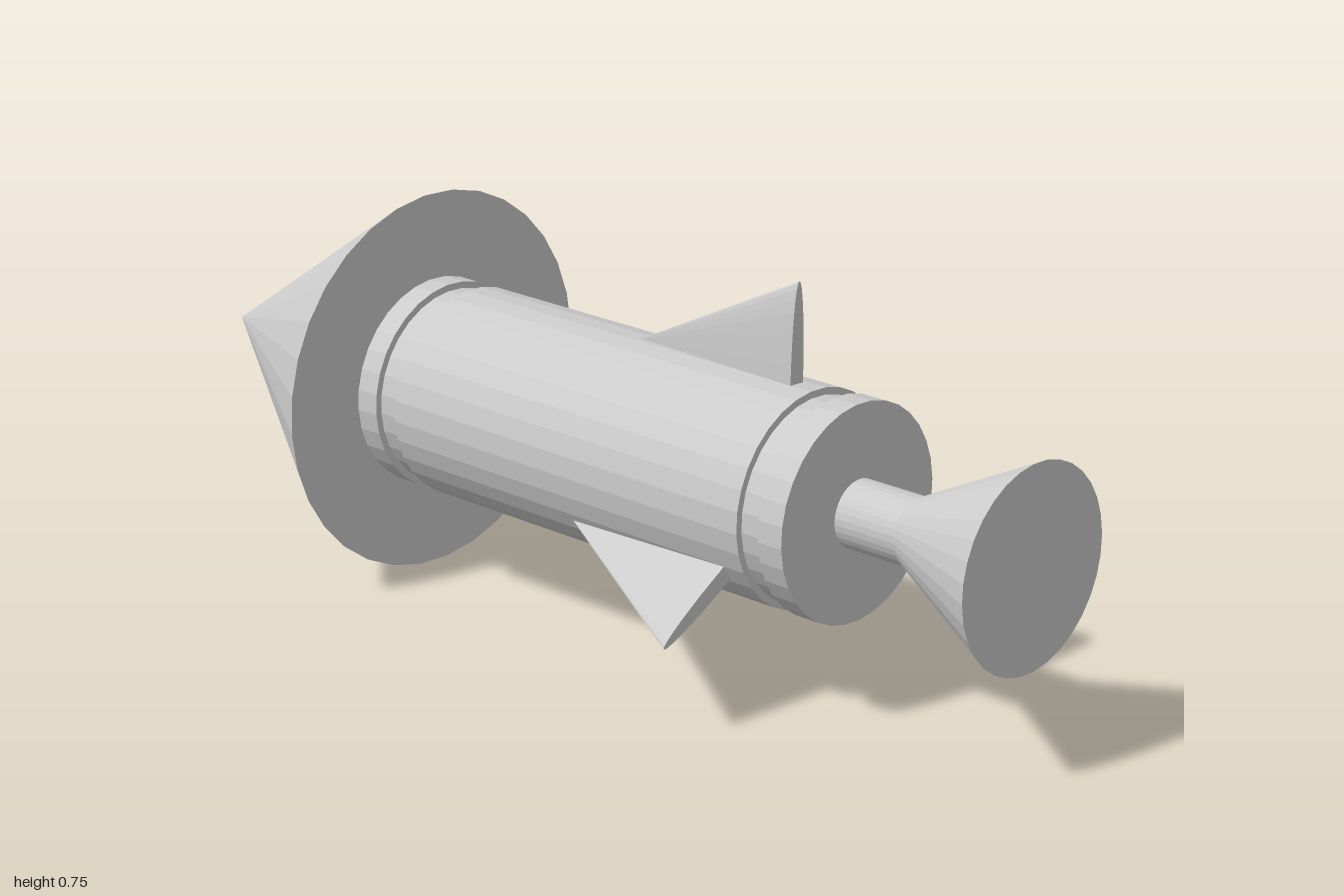
import * as THREE from 'three';

const SIDES = 32;
const AXIS_Y = 0.369;
const TURN = 0.06; // small roll of the facets about the long axis

export function createModel() {
  const model = new THREE.Group();
  model.name = 'rocket';
  const material = new THREE.MeshStandardMaterial({ color: 0xcccccc, flatShading: true });

  const add = (name, geometry) => {
    const mesh = new THREE.Mesh(geometry, material);
    mesh.name = name;
    mesh.position.y = AXIS_Y;
    model.add(mesh);
  };

  // Round section along z, from z0 (radius r0) forward to z1 (radius r1)
  const section = (name, z0, r0, z1, r1) => {
    const geometry = r0 === 0
      ? new THREE.ConeGeometry(r1, z1 - z0, SIDES, 1, false, -TURN).rotateX(-Math.PI / 2)
        .rotateZ(Math.PI)
      : new THREE.CylinderGeometry(r1, r0, z1 - z0, SIDES, 1, false, TURN).rotateX(Math.PI / 2);
    add(name, geometry.translate(0, 0, (z0 + z1) / 2));
  };

  // Nose and hull with its two grooves
  section('noseCone', -1, 0, -0.435, 0.368);
  section('noseCollar', -0.435, 0.201, -0.386, 0.201);
  section('noseGroove', -0.386, 0.188, -0.335, 0.188);
  section('hull', -0.335, 0.201, 0.518, 0.201);
  section('tailGroove', 0.518, 0.188, 0.567, 0.188);
  section('tailCollar', 0.567, 0.201, 0.62, 0.201);

  // Engine
  section('engineNeck', 0.62, 0.063, 0.752, 0.063);
  section('engineBell', 0.752, 0.063, 1, 0.188);

  // Three fins: flattened cones whose inner halves sink into the hull
  for (const degrees of [0.8, 120.1, 239.2]) {
    const fin = new THREE.ConeGeometry(1, 0.372, SIDES)
      .rotateX(-Math.PI / 2)
      .scale(0.0165, 0.186, 1)
      .translate(0, 0.2, 0.286)
      .rotateZ(-THREE.MathUtils.degToRad(degrees));
    add('fin', fin);
  }
  return model;
}
